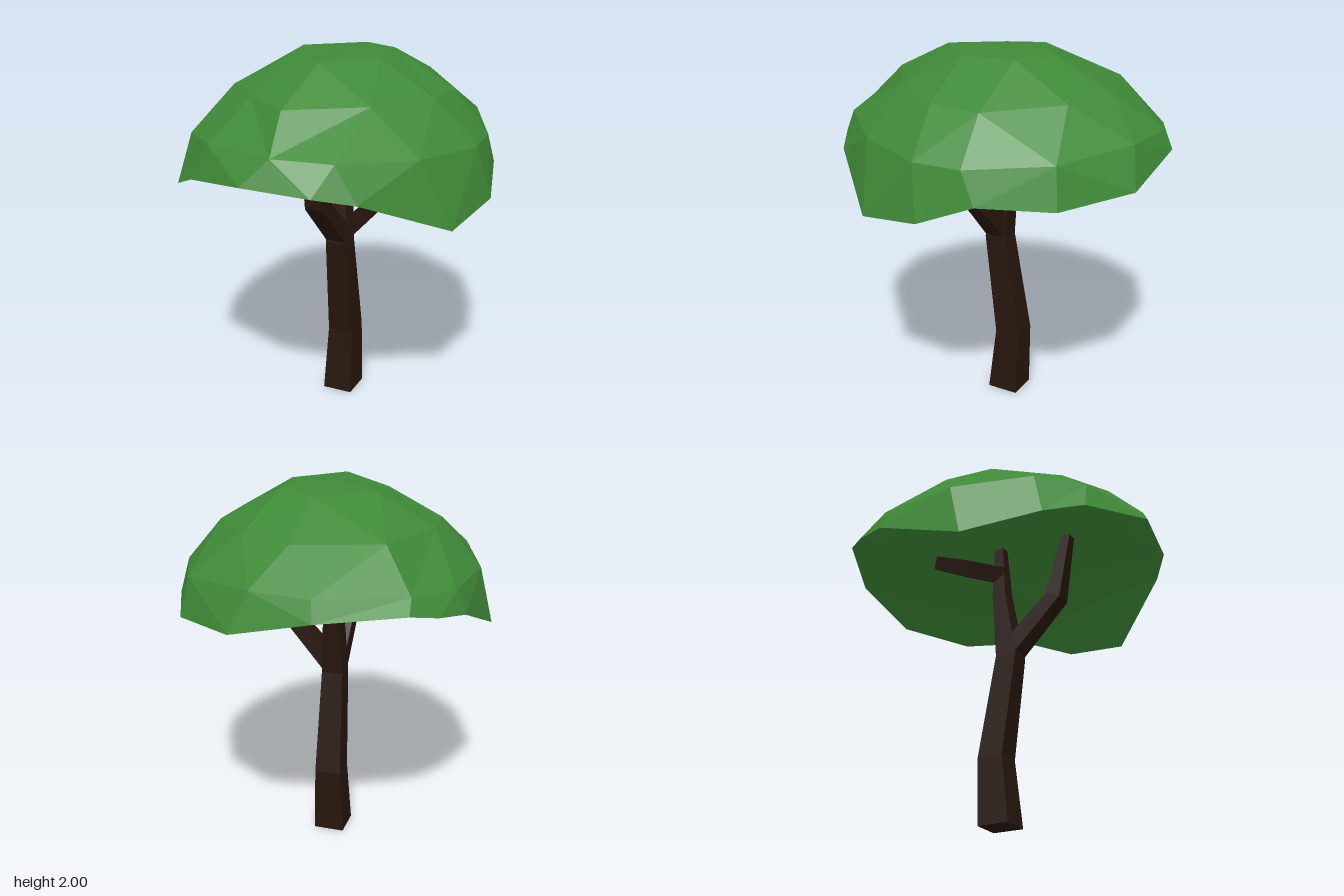
import * as THREE from 'three';

const TAU = Math.PI * 2;
const bark = new THREE.MeshStandardMaterial({ color: 0x27160d, flatShading: true });
const leaf = new THREE.MeshStandardMaterial({ color: 0x3f8a38, flatShading: true });
const V = (x, y, z) => new THREE.Vector3(x, y, z);

function facetMesh(name, corners, material) {
  const geometry = new THREE.BufferGeometry().setFromPoints(corners);
  geometry.computeVertexNormals();
  const mesh = new THREE.Mesh(geometry, material);
  mesh.name = name;
  return mesh;
}

// Four-sided tapering limb; each section is [x, y, z, halfWidth, halfDepth]
function limb(name, sections, level = false) {
  const centres = sections.map(([x, y, z]) => V(x, y, z));
  const rings = sections.map(([, , , w, d = w], i) => {
    const next = centres[Math.min(i + 1, centres.length - 1)];
    const dir = level ? V(0, 1, 0) : next.clone().sub(centres[Math.max(i - 1, 0)]).normalize();
    const turn = new THREE.Quaternion().setFromUnitVectors(V(0, 1, 0), dir);
    return [[1, 1], [1, -1], [-1, -1], [-1, 1]].map(([sx, sz]) =>
      V(sx * w, 0, sz * d).applyQuaternion(turn).add(centres[i]));
  });
  const out = [];
  const quad = (a, b, c, d) => out.push(a, b, c, a, c, d);
  for (let i = 0; i < rings.length - 1; i++) {
    const a = rings[i], b = rings[i + 1];
    for (let k = 0; k < 4; k++) quad(a[k], a[(k + 1) % 4], b[(k + 1) % 4], b[k]);
  }
  quad(...[...rings[0]].reverse());
  quad(...rings[rings.length - 1]);
  return facetMesh(name, out, bark);
}

// Uneven lower edge of the crown, in order around the tree
const rim = [
  [0.83, 1.3, 0], [0.75, 1.24, 0.37], [0.41, 1.44, 0.74], [0.23, 1.48, 0.85], [-0.12, 1.5, 0.89],
  [-0.5, 1.43, 0.7], [-0.68, 1.34, 0.55], [-0.83, 1.25, 0.17], [-0.77, 1.46, -0.35], [-0.68, 1.5, -0.55],
  [-0.57, 1.54, -0.69], [-0.17, 1.53, -0.89], [0.25, 1.43, -0.87], [0.6, 1.4, -0.63], [0.76, 1.41, -0.28],
].map((p) => V(...p));

const angleOf = (p) => (Math.atan2(p.z, p.x) + TAU) % TAU;

// Point of the rim in a given direction
function rimAt(angle) {
  const t = angle % TAU;
  let i = rim.length - 1;
  while (i > 0 && angleOf(rim[i]) > t) i--;
  const a = rim[i], b = rim[(i + 1) % rim.length];
  const end = i + 1 < rim.length ? angleOf(b) : TAU;
  return a.clone().lerp(b, (t - angleOf(a)) / (end - angleOf(a)));
}

// Slightly uneven ring of the outer dome; dent flattens the two front corners
function outerRing(count, offset, share, height, lift, wobble, dent) {
  return Array.from({ length: count }, (_, j) => {
    const uneven = ((j * 7) % 5) / 4 - 0.5;
    const angle = (TAU * (j + offset + uneven * 0.3)) / count;
    const edge = rimAt(angle);
    const corner = 2 * Math.max(0, Math.sin(angle)) * Math.abs(Math.cos(angle));
    const r = Math.hypot(edge.x, edge.z) * share * (1 + uneven * wobble) * (1 - dent * corner);
    const y = height + lift * Math.sin(angle) ** 2 - uneven * wobble * 0.3;
    return V(r * Math.cos(angle), y, r * Math.sin(angle));
  });
}

// Ring of the underside, rising from the rim towards the ceiling height
function innerRing(count, share, ceiling, rise) {
  return Array.from({ length: count }, (_, j) => {
    const p = rimAt((TAU * (j + 0.3)) / count);
    return V(p.x * share, THREE.MathUtils.lerp(p.y, ceiling, rise), p.z * share);
  });
}

// Triangles between two rings that may differ in number of points
function stitch(out, low, high, inward) {
  const n = low.length, m = high.length;
  const at = (r, i) => angleOf(r[i % r.length]) + (i >= r.length ? TAU : 0);
  for (let i = 0, j = 0; i < n || j < m;) {
    const a = low[i % n], b = high[j % m];
    const stepLow = j >= m || (i < n && at(low, i + 1) < at(high, j + 1));
    const tri = stepLow ? [low[++i % n], a, b] : [a, b, high[++j % m]];
    out.push(...(inward ? tri.reverse() : tri));
  }
}

function dome(out, rings, apex, inward) {
  for (let i = 0; i < rings.length - 1; i++) stitch(out, rings[i], rings[i + 1], inward);
  const top = rings[rings.length - 1];
  top.forEach((p, i) => {
    const tri = [top[(i + 1) % top.length], p, apex];
    out.push(...(inward ? tri.reverse() : tri));
  });
}

function canopy() {
  const out = [];
  // Outer dome
  dome(out, [
    rim,
    outerRing(13, 0.3, 0.945, 1.575, 0.06, 0.02, 0.03),
    outerRing(10, 0.4, 0.715, 1.8, 0.025, 0.05, 0.1),
    outerRing(6, 0.45, 0.36, 1.965, 0.015, 0.08, 0.1),
  ], V(0.03, 2, -0.02), false);
  // Hollow underside
  dome(out, [
    rim,
    innerRing(13, 0.8, 1.62, 0.55),
    innerRing(7, 0.45, 1.62, 0.9),
  ], V(0, 1.63, 0), true);
  return facetMesh('canopy', out, leaf);
}

export function createModel() {
  const tree = new THREE.Group();
  tree.name = 'tree';
  tree.add(
    limb('trunk', [
      [-0.01, 0, -0.045, 0.084, 0.087],
      [-0.008, 0.37, -0.072, 0.072, 0.072],
      [-0.005, 0.94, 0.012, 0.058, 0.06],
      [-0.01, 1.33, -0.037, 0.045, 0.04],
      [-0.015, 1.65, -0.045, 0.026, 0.026],
    ], true),
    limb('leftBranch', [
      [0.0, 0.97, 0.01, 0.05],
      [0.32, 1.3, 0.04, 0.038],
      [0.42, 1.6, 0.09, 0.025],
    ]),
    limb('frontBranch', [
      [-0.005, 0.97, 0.02, 0.056, 0.05],
      [-0.005, 1.24, 0.3, 0.05, 0.043],
      [-0.015, 1.6, 0.38, 0.03, 0.026],
    ]),
    limb('backBranch', [
      [-0.01, 1.46, -0.03, 0.046],
      [-0.1, 1.51, -0.21, 0.046],
      [-0.17, 1.56, -0.38, 0.036],
    ]),
    canopy(),
  );
  return tree;
}
